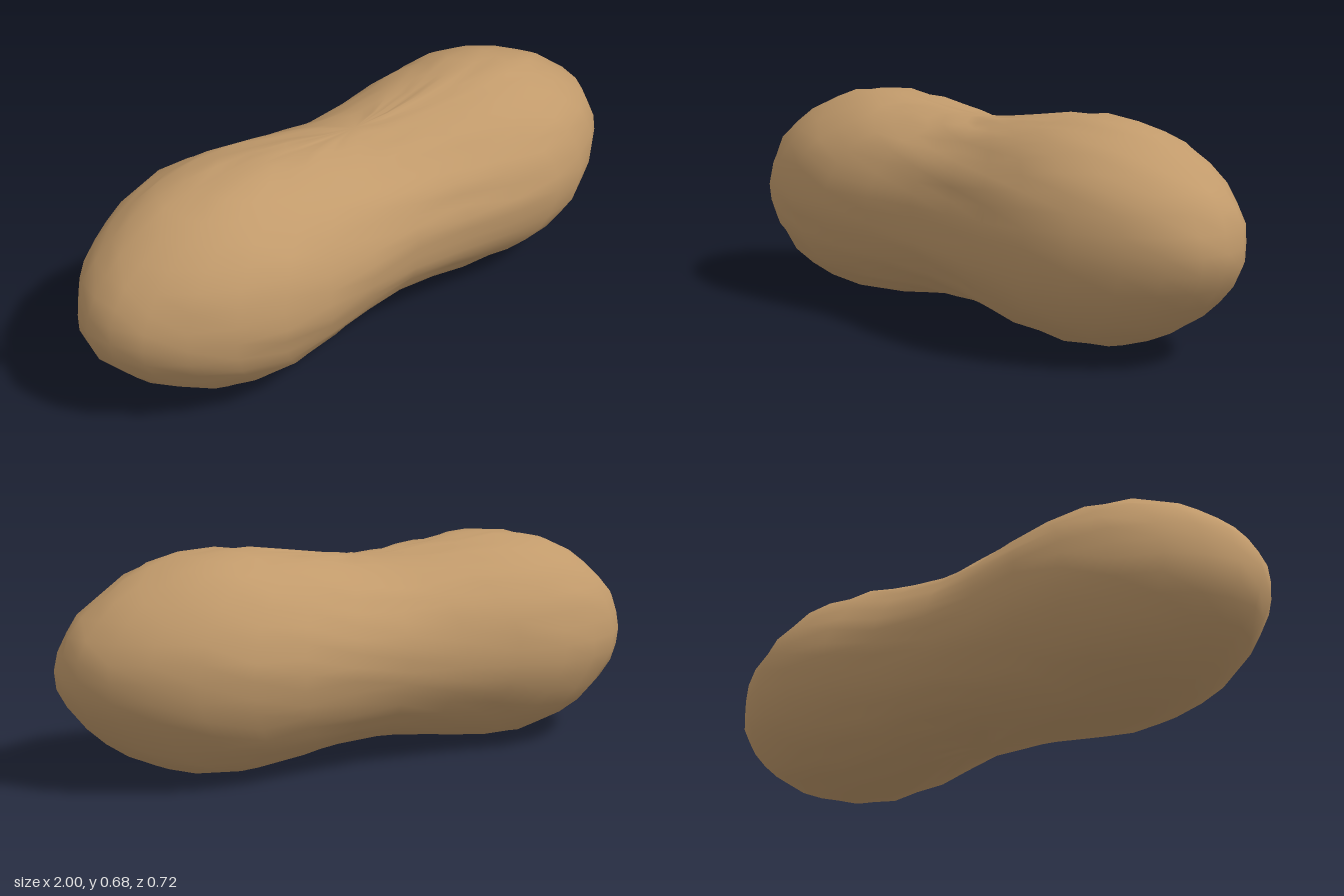
import * as THREE from 'three';
import { mergeVertices } from 'three/addons/utils/BufferGeometryUtils.js';

// Repeatable noise in -1..1, tied to position so seam vertices agree
function noise(x, y, z, seed) {
  const q = v => Math.round(v * 1000);
  const s = Math.sin(q(x) * 12.9898 + q(y) * 78.233 + q(z) * 37.719 + seed * 4.1) * 43758.5453;
  return (s - Math.floor(s)) * 2 - 1;
}

// Waisted shell: a sphere whose girth follows a two-lobed rule along x
function shellGeometry() {
  const sphere = new THREE.SphereGeometry(1, 32, 24);
  sphere.deleteAttribute('uv');
  sphere.deleteAttribute('normal');
  const geo = mergeVertices(sphere, 1e-4);
  const pos = geo.attributes.position;
  for (let i = 0; i < pos.count; i++) {
    const x = pos.getX(i), y = pos.getY(i), z = pos.getZ(i);
    const girth = 0.3 + 0.14 * THREE.MathUtils.smoothstep(Math.abs(x), 0, 0.75);
    const rough = 1 + 0.018 * noise(x, y, z, 1);
    pos.setXYZ(i, x * (1 + 0.006 * noise(x, y, z, 2)), y * girth * 0.97 * rough, z * girth * 1.03 * rough);
  }
  // Fit to the full length and rest on the ground
  geo.center();
  geo.computeBoundingBox();
  const fit = 1 / geo.boundingBox.max.x;
  geo.scale(fit, 1, 1);
  geo.translate(0, -geo.boundingBox.min.y, 0);
  geo.computeVertexNormals();
  return geo;
}

export function createModel() {
  const group = new THREE.Group();
  group.name = 'peanut';
  const tan = new THREE.MeshStandardMaterial({ color: 0xc19a6b });
  tan.name = 'shellTan';
  const shell = new THREE.Mesh(shellGeometry(), tan);
  shell.name = 'shell';
  group.add(shell);
  return group;
}
